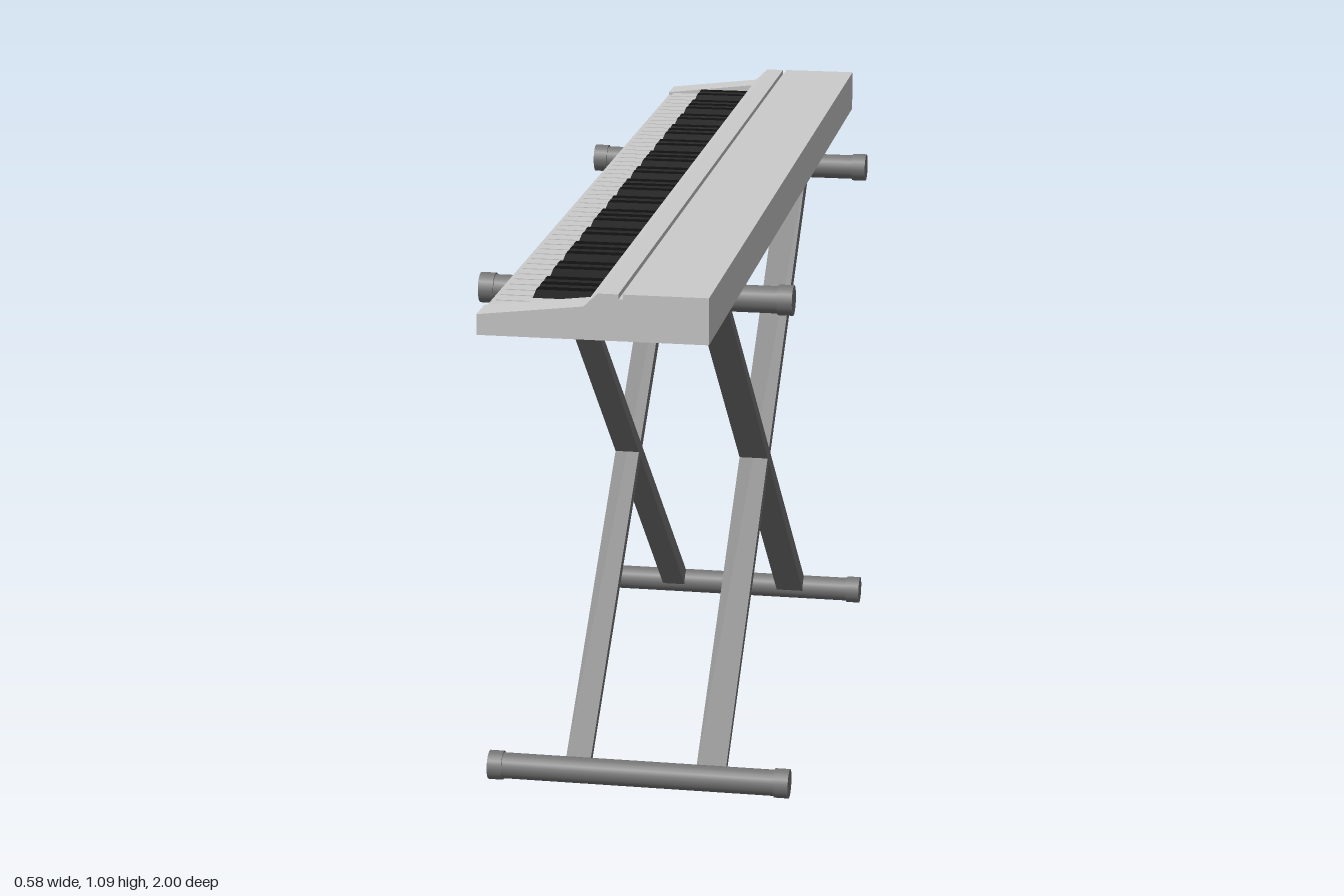
import * as THREE from 'three';

const paint = (color) => new THREE.MeshStandardMaterial({ color });
const bodyMat = paint(0xcccccc);
const whiteMat = paint(0xffffff);
const blackMat = paint(0x111111);
const standMat = paint(0x777777);

function add(parent, name, geometry, material, x = 0, y = 0, z = 0) {
  const mesh = new THREE.Mesh(geometry, material);
  mesh.name = name;
  mesh.position.set(x, y, z);
  parent.add(mesh);
  return mesh;
}

// Extrude an x-y outline along z, centred on z = 0
function prism(points, length) {
  const shape = new THREE.Shape(points.map(([x, y]) => new THREE.Vector2(x, y)));
  return new THREE.ExtrudeGeometry(shape, { depth: length, bevelEnabled: false })
    .translate(0, 0, -length / 2);
}

function createKeyboard() {
  const group = new THREE.Group();
  group.name = 'keyboard';
  const keySpan = 1.87, cheek = (2 - keySpan) / 2;

  // Case: front lip, sunken key floor, raised rear panel with a groove
  add(group, 'case', prism([
    [-0.203, 1.003], [0.203, 1.003], [0.203, 1.086], [0.054, 1.086], [0.054, 1.077],
    [0.046, 1.077], [0.046, 1.086], [0.01, 1.086], [-0.015, 1.062], [-0.015, 1.018],
    [-0.193, 1.018], [-0.193, 1.034], [-0.203, 1.034],
  ], 2), bodyMat);

  // Sloping end cheeks beside the keys
  for (const s of [-1, 1]) {
    add(group, 'endCheek', prism([
      [-0.203, 1.003], [-0.01, 1.003], [-0.015, 1.062], [-0.203, 1.04],
    ], cheek), bodyMat, 0, 0, s * (1 - cheek / 2));
  }

  // Seven octaves and a final white key
  const count = 50, pitch = keySpan / count;
  const whiteKey = new THREE.BoxGeometry(0.177, 0.022, pitch * 0.86);
  const w = 0.013;
  const blackKey = prism([
    [-0.132, 1.036], [-0.015, 1.036], [-0.015, 1.054], [-0.125, 1.054],
  ], w * 2);
  // Narrow the top of each black key
  const p = blackKey.attributes.position;
  for (let i = 0; i < p.count; i++) {
    if (p.getY(i) > 1.05) p.setZ(i, p.getZ(i) * 0.8);
  }
  blackKey.computeVertexNormals();

  for (let i = 0; i < count; i++) {
    const z = -keySpan / 2 + (i + 0.5) * pitch;
    add(group, 'whiteKey', whiteKey, whiteMat, -0.1035, 1.028, z);
    if (i < count - 1 && ![2, 6].includes(i % 7)) {
      add(group, 'blackKey', blackKey, blackMat, 0, 0, z + pitch / 2);
    }
  }
  return group;
}

function createStand() {
  const group = new THREE.Group();
  group.name = 'stand';
  const zFront = 0.58, zBack = -0.53, yLow = 0.028, yHigh = 0.976;

  // Four cross rails with end caps
  const rail = new THREE.CylinderGeometry(0.025, 0.025, 0.54, 20).rotateZ(Math.PI / 2);
  const cap = new THREE.CylinderGeometry(0.028, 0.028, 0.028, 20).rotateZ(Math.PI / 2);
  for (const z of [zFront, zBack]) {
    for (const y of [yLow, yHigh]) {
      add(group, 'crossRail', rail, standMat, 0, y, z);
      for (const s of [-1, 1]) add(group, 'railCap', cap, standMat, s * 0.277, y, z);
    }
  }

  // Crossed legs, thicker toward the back
  const length = Math.hypot(zFront - zBack, yHigh - yLow);
  for (const [x, width] of [[-0.119, 0.048], [0.139, 0.057]]) {
    for (const s of [-1, 1]) {
      const leg = new THREE.BoxGeometry(width, 1, length);
      const p = leg.attributes.position;
      for (let i = 0; i < p.count; i++) {
        p.setY(i, p.getY(i) * (p.getZ(i) > 0 ? 0.016 : 0.034));
      }
      leg.computeVertexNormals();
      const mesh = add(group, 'crossedLeg', leg, standMat, x, (yLow + yHigh) / 2, (zFront + zBack) / 2);
      mesh.rotation.x = s * Math.atan2(yHigh - yLow, zFront - zBack);
    }
  }
  return group;
}

export function createModel() {
  const model = new THREE.Group();
  model.name = 'keyboardOnStand';
  model.add(createKeyboard(), createStand());
  return model;
}
